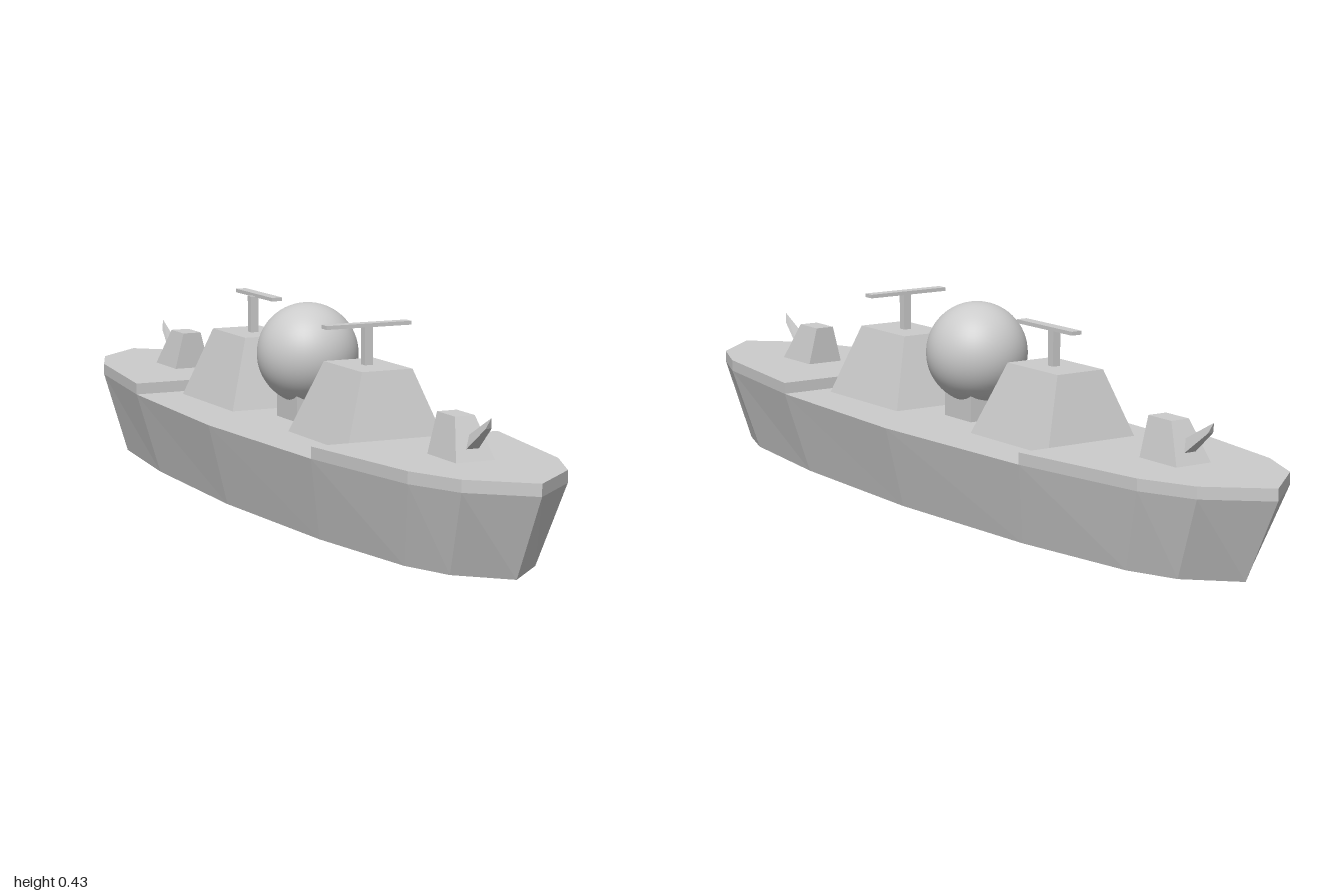
import * as THREE from 'three';
import { ConvexGeometry } from 'three/addons/geometries/ConvexGeometry.js';

const flat = new THREE.MeshStandardMaterial({ color: 0xcccccc, flatShading: true });
const smooth = new THREE.MeshStandardMaterial({ color: 0xcccccc });

// Half-widths of the ship's plan from midships to the bow: [x, z]
const plan = [[0.235, 0], [0.213, 0.457], [0.165, 0.78], [0.115, 0.9], [0, 1]];
const DECK = 0.175, RAISED = 0.2;

function part(name, geometry, parent, x = 0, y = 0, z = 0, material = flat) {
  const mesh = new THREE.Mesh(geometry, material);
  mesh.name = name;
  mesh.position.set(x, y, z);
  parent.add(mesh);
  return mesh;
}

// Prism standing on y = 0 from a plan outline of [x, z] points
function prism(outline, height) {
  const shape = new THREE.Shape(outline.map(([x, z]) => new THREE.Vector2(x, -z)));
  return new THREE.ExtrudeGeometry(shape, { depth: height, bevelEnabled: false }).rotateX(-Math.PI / 2);
}

// Box standing on y = 0 whose top spans x = +-topX and z from topBack to topFront
function taperedBox(baseX, baseBack, baseFront, topX, topBack, topFront, height) {
  const g = new THREE.BoxGeometry(2, 1, 2).translate(0, 0.5, 0);
  const p = g.attributes.position;
  for (let i = 0; i < p.count; i++) {
    const top = p.getY(i) > 0.5, front = p.getZ(i) > 0;
    const z = top ? (front ? topFront : topBack) : (front ? baseFront : baseBack);
    p.setXYZ(i, p.getX(i) * (top ? topX : baseX), top ? height : 0, z);
  }
  g.computeVertexNormals();
  return g;
}

// Hull: deck plan drawn in towards the keel
function hullGeometry() {
  const bow = plan.slice(1);
  const outline = [
    ...plan,
    ...bow.slice(0, -1).reverse().map(([x, z]) => [-x, z]),
    [-plan[0][0], 0],
    ...bow.map(([x, z]) => [-x, -z]),
    ...bow.slice(0, -1).reverse().map(([x, z]) => [x, -z]),
  ];
  const g = prism(outline, DECK);
  const p = g.attributes.position;
  for (let i = 0; i < p.count; i++) {
    if (p.getY(i) < DECK / 2) {
      p.setX(i, p.getX(i) * 0.815);
      p.setZ(i, p.getZ(i) * 0.91);
    }
  }
  g.computeVertexNormals();
  return g;
}

// Three-sided barrel, raised and narrowing to the muzzle
function barrelGeometry() {
  const v = (x, y, z) => new THREE.Vector3(x, y, z);
  return new ConvexGeometry([
    v(-0.017, 0.204, 0.71), v(0.017, 0.204, 0.71), v(0, 0.238, 0.7),
    v(-0.0065, 0.272, 0.797), v(0.0065, 0.272, 0.797), v(0, 0.294, 0.807),
  ]);
}

// Everything on one end of the ship, facing +z
function shipEnd(name) {
  const end = new THREE.Group();
  end.name = name;
  const bow = plan.slice(1);
  const outline = [...bow, ...bow.slice(0, -1).reverse().map(([x, z]) => [-x, z])];
  part('raisedDeck', prism(outline, RAISED - DECK), end, 0, DECK);
  part('tower', taperedBox(0.114, 0.143, 0.42, 0.058, 0.198, 0.375, 0.153), end, 0, DECK);
  part('mast', new THREE.BoxGeometry(0.018, 0.082, 0.018), end, 0, 0.368, 0.283);
  part('turret', taperedBox(0.043, 0.63, 0.747, 0.022, 0.63, 0.703, 0.083), end, 0, RAISED);
  part('gunBarrel', barrelGeometry(), end);
  return end;
}

export function createModel() {
  const ship = new THREE.Group();
  ship.name = 'warship';
  part('hull', hullGeometry(), ship);

  const front = shipEnd('frontEnd');
  const back = shipEnd('backEnd');
  back.rotation.y = Math.PI;
  ship.add(front, back);

  // Radar bars: one across the ship, the other along it
  part('frontRadarBar', new THREE.BoxGeometry(0.196, 0.008, 0.025), ship, 0, 0.411, 0.281);
  part('backRadarBar', new THREE.BoxGeometry(0.025, 0.008, 0.194), ship, 0.014, 0.411, -0.283);

  // Midships dome on its pedestal
  part('domePedestal', new THREE.BoxGeometry(0.1, 0.065, 0.1), ship, 0, DECK + 0.0325, 0);
  part('dome', new THREE.SphereGeometry(0.11, 48, 32), ship, 0, 0.316, 0, smooth);
  return ship;
}
